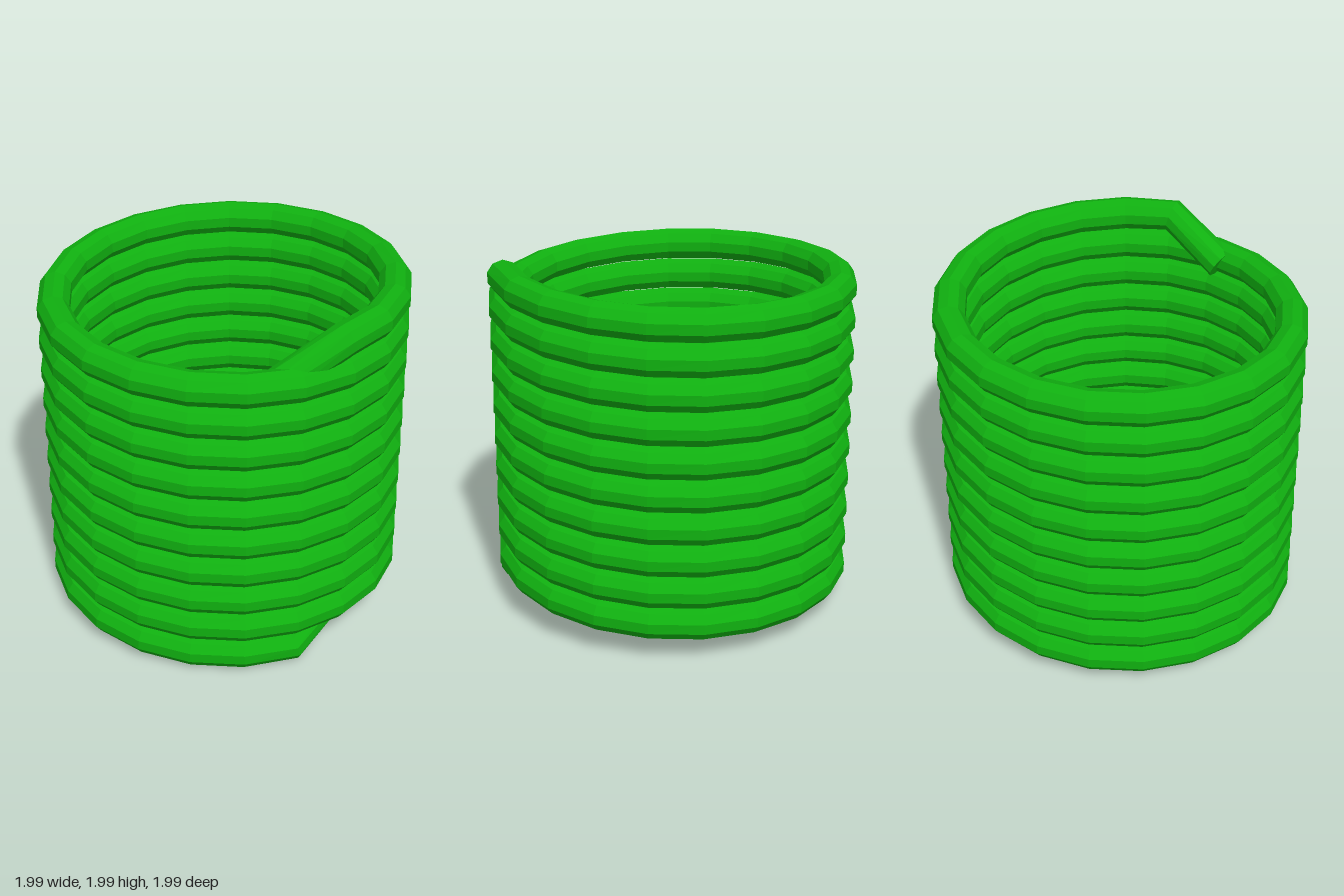
import * as THREE from 'three';

const SIDES = 10;         // sides of the wire
const WIRE = 0.09;        // wire radius
const RADIUS = 0.913;     // coil radius
const PER_TURN = 21;      // straight pieces per turn
const TURNS = 10;
const Y0 = 0.092, Y1 = 1.91;
const SHIFT = -0.01;

// Point from an angle, with offsets along the radius and the tangent
function polar(angle, radius, tangent, y) {
  const c = Math.cos(angle), s = Math.sin(angle);
  return new THREE.Vector3(radius * c - tangent * s, y, radius * s + tangent * c);
}

// Wire path: lower tail, helix, upper tail
function wirePath() {
  const step = (Math.PI * 2) / PER_TURN;
  const last = PER_TURN * TURNS;
  const points = [polar(step, RADIUS - 0.125, -0.33, Y0 + 0.19)];
  for (let i = 1; i <= last; i++) {
    points.push(polar(i * step, RADIUS, 0, Y0 + ((Y1 - Y0) * (i - 1)) / (last - 1)));
  }
  points.push(polar(0, RADIUS - 0.125, 0.33, Y1 - 0.19));
  return points;
}

// Sweep a polygon along the path, each ring facing the mean direction
function sweep(path) {
  const positions = [], index = [];
  const n = path.length;
  path.forEach((p, i) => {
    const t = new THREE.Vector3();
    if (i > 0) t.add(p.clone().sub(path[i - 1]).normalize());
    if (i < n - 1) t.add(path[i + 1].clone().sub(p).normalize());
    t.normalize();
    const u = new THREE.Vector3(p.x, 0, p.z);
    u.addScaledVector(t, -u.dot(t)).normalize();
    const v = t.clone().cross(u);
    for (let j = 0; j < SIDES; j++) {
      const a = ((j + 0.5) / SIDES) * Math.PI * 2;
      const q = p.clone()
        .addScaledVector(u, WIRE * Math.cos(a))
        .addScaledVector(v, WIRE * Math.sin(a));
      positions.push(q.x, q.y, q.z);
    }
  });
  for (let i = 0; i < n - 1; i++) {
    for (let j = 0; j < SIDES; j++) {
      const k = (j + 1) % SIDES;
      const a = i * SIDES + j, b = i * SIDES + k;
      index.push(a, b, a + SIDES, b, b + SIDES, a + SIDES);
    }
  }
  // Flat end caps
  const end = (n - 1) * SIDES;
  for (let j = 1; j < SIDES - 1; j++) {
    index.push(0, j + 1, j, end, end + j, end + j + 1);
  }
  const geometry = new THREE.BufferGeometry();
  geometry.setAttribute('position', new THREE.Float32BufferAttribute(positions, 3));
  geometry.setIndex(index);
  const flat = geometry.toNonIndexed();
  flat.computeVertexNormals();
  return flat;
}

export function createModel() {
  const group = new THREE.Group();
  group.name = 'coilSpring';
  const material = new THREE.MeshStandardMaterial({ color: 0x10b010, flatShading: true });
  const coil = new THREE.Mesh(sweep(wirePath()), material);
  coil.name = 'coiledWire';
  coil.position.x = SHIFT;
  group.add(coil);
  return group;
}
